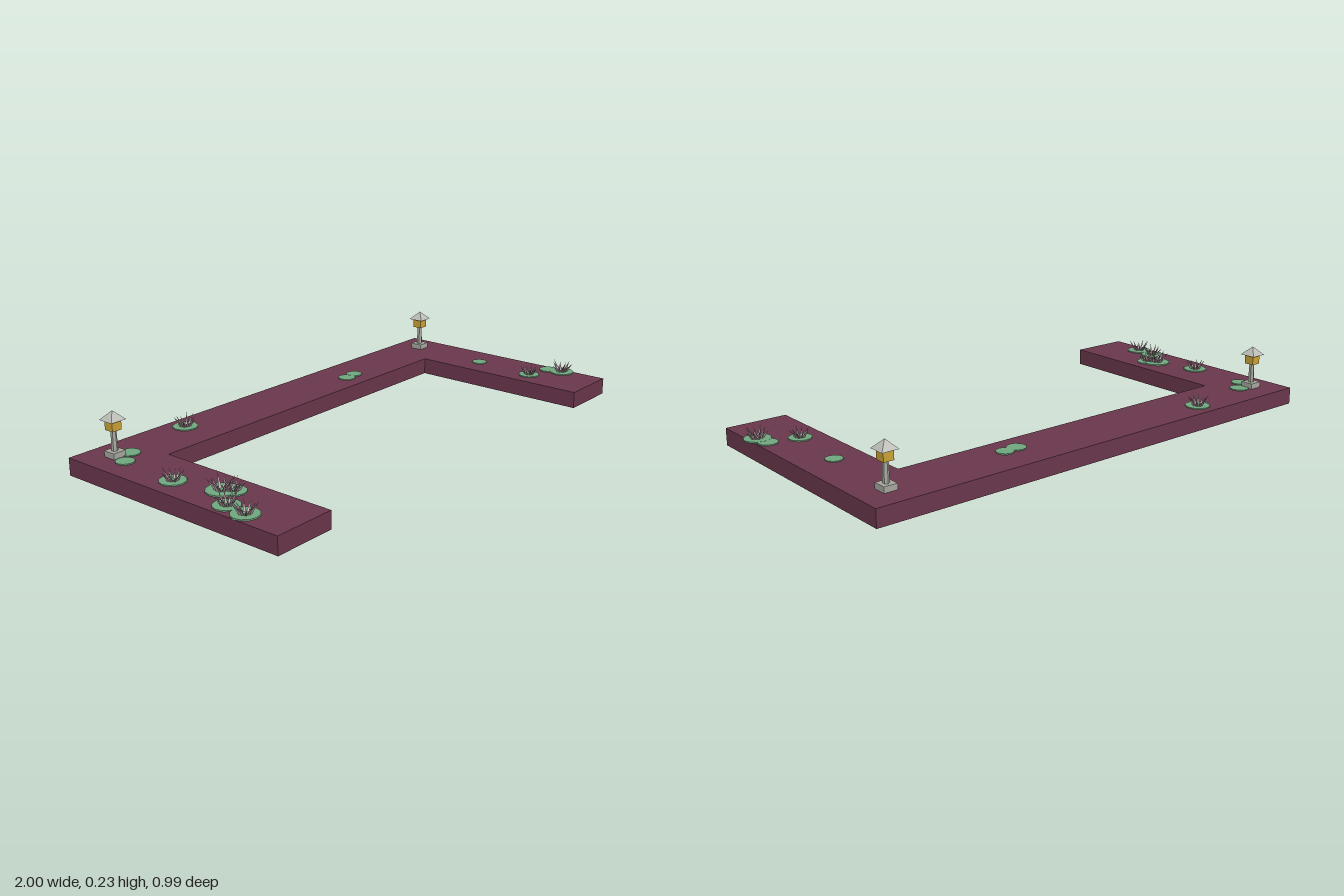
import * as THREE from 'three';

const mat = (name, color) => {
  const m = new THREE.MeshStandardMaterial({ color, flatShading: true });
  m.name = name;
  return m;
};

export function createModel() {
  const soil = mat('plum soil', 0x6a374c);
  const moss = mat('moss green', 0x70a880);
  const grass = mat('mauve grass', 0x9c828a);
  const stone = mat('lantern stone', 0xa8a8a0);
  const roofMat = mat('roof stone', 0xbcbcb6);
  const glow = mat('amber lamp', 0xcba237);

  const model = new THREE.Group();
  model.name = 'gardenBorder';
  const TOP = 0.066;

  const add = (parent, name, geo, material, x = 0, y = 0, z = 0) => {
    const mesh = new THREE.Mesh(geo, material);
    mesh.name = name;
    mesh.position.set(x, y, z);
    parent.add(mesh);
    return mesh;
  };

  // U-shaped bed, open towards the front
  const outline = new THREE.Shape([
    [-1, -0.494], [-0.758, -0.494], [-0.758, 0.254], [0.738, 0.254],
    [0.738, -0.494], [0.98, -0.494], [0.98, 0.494], [-1, 0.494],
  ].map(([x, y]) => new THREE.Vector2(x, y)));
  const bed = new THREE.ExtrudeGeometry(outline, { depth: TOP, bevelEnabled: false });
  bed.rotateX(-Math.PI / 2);
  add(model, 'bed', bed, soil);

  // Lanterns: plinth, post, lamp box and pyramid roof
  for (const x of [-0.888, 0.868]) {
    const lantern = new THREE.Group();
    lantern.name = 'lantern';
    lantern.position.set(x, TOP, -0.382);
    add(lantern, 'plinth', new THREE.BoxGeometry(0.052, 0.022, 0.052), stone, 0, 0.011, 0);
    add(lantern, 'post', new THREE.CylinderGeometry(0.01, 0.012, 0.076, 6), stone, 0, 0.06, 0);
    add(lantern, 'lamp', new THREE.BoxGeometry(0.04, 0.038, 0.04), glow, 0, 0.117, 0);
    const roof = new THREE.ConeGeometry(0.046, 0.033, 4);
    roof.rotateY(Math.PI / 4);
    add(lantern, 'roof', roof, roofMat, 0, 0.1515, 0);
    model.add(lantern);
  }

  // Moss pads
  const pad = (parent, r, x, y, z) =>
    add(parent, 'mossPad', new THREE.CylinderGeometry(r, r, 0.005, 12), moss, x, y, z);

  [[-0.835, -0.367, 0.038], [-0.9, -0.315, 0.035], [0.308, -0.342, 0.036],
    [0.365, -0.35, 0.033], [0.85, -0.04, 0.032], [0.94, 0.252, 0.037],
  ].forEach(([x, z, r], i) => pad(model, r, x, TOP + 0.001 + (i % 2) * 0.0006, z));

  // Tufts: a ring of leaning blades on a moss pad
  const up = new THREE.Vector3(0, 1, 0);
  [[-0.53, -0.418, 0.048], [-0.912, -0.06, 0.048], [-0.865, 0.122, 0.057],
    [-0.845, 0.155, 0.045], [-0.94, 0.22, 0.048], [-0.951, 0.312, 0.05],
    [0.828, 0.225, 0.043], [0.949, 0.312, 0.05],
  ].forEach(([x, z, r], t) => {
    const tuft = new THREE.Group();
    tuft.name = 'grassTuft';
    tuft.position.set(x, TOP, z);
    pad(tuft, r, 0, 0.0015 + (t % 3) * 0.0004, 0);
    const count = 10;
    for (let i = 0; i < count; i++) {
      const a = (i / count) * Math.PI * 2 + t * 0.7;
      const height = r * (0.93 - 0.13 * (i % 3));
      const reach = r * (0.62 - 0.14 * (i % 2));
      const lean = new THREE.Vector3(Math.cos(a) * reach, height, Math.sin(a) * reach);
      const length = lean.length();
      const geo = new THREE.ConeGeometry(r * 0.13, length, 4);
      geo.translate(0, length / 2, 0);
      const blade = add(tuft, 'blade', geo, grass, Math.cos(a) * r * 0.27, 0, Math.sin(a) * r * 0.27);
      blade.quaternion.setFromUnitVectors(up, lean.normalize());
    }
    model.add(tuft);
  });

  return model;
}
